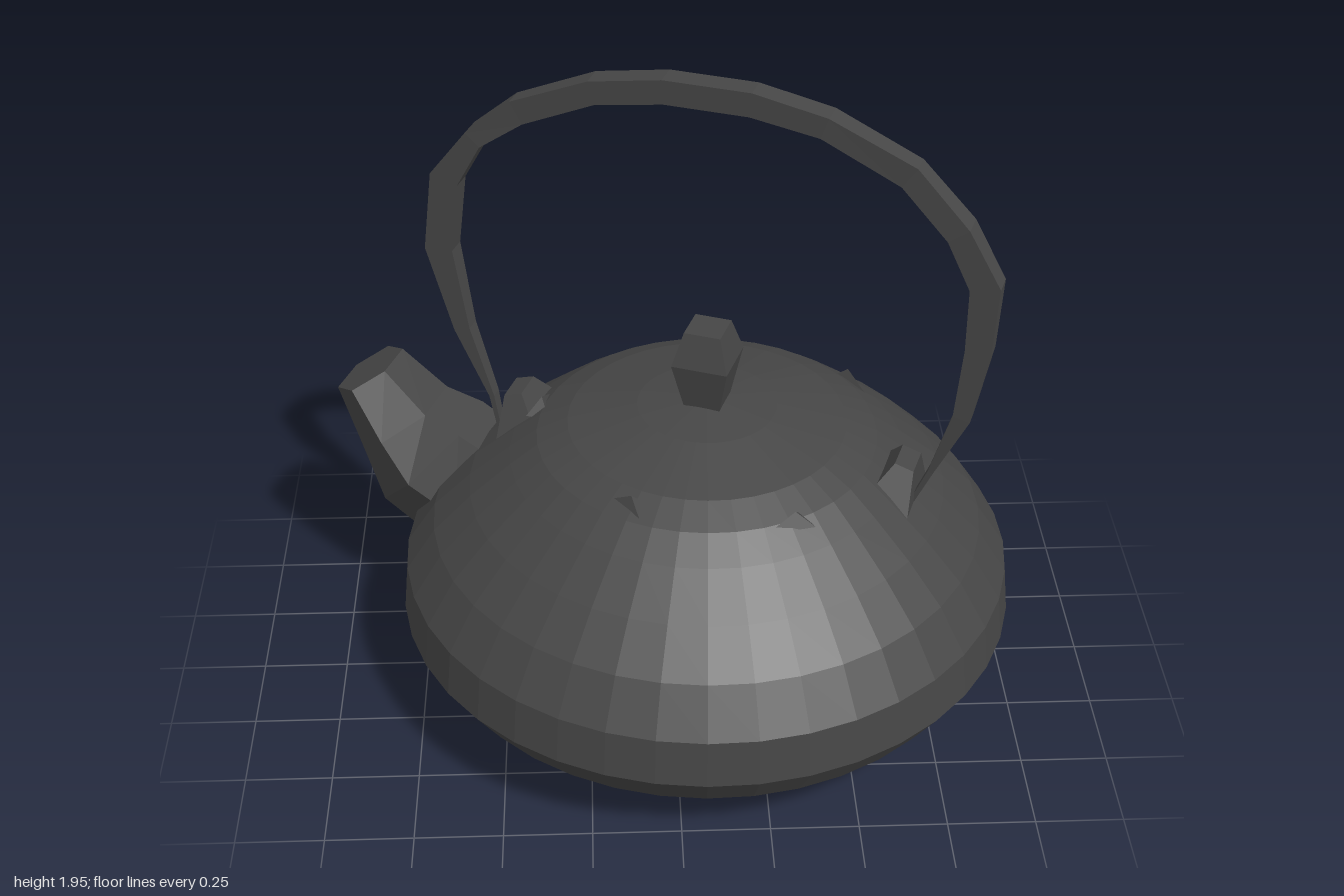
import * as THREE from 'three';

// Closed solid through a list of rings, each counter-clockwise about the path
function loft(rings) {
  const n = rings[0].length, verts = [];
  const tri = (...p) => p.forEach(v => verts.push(v.x, v.y, v.z));
  for (let i = 0; i < rings.length - 1; i++) {
    for (let j = 0; j < n; j++) {
      const k = (j + 1) % n, a = rings[i], b = rings[i + 1];
      tri(a[j], a[k], b[k]);
      tri(a[j], b[k], b[j]);
    }
  }
  const first = rings[0], last = rings[rings.length - 1];
  for (let j = 1; j < n - 1; j++) {
    tri(first[0], first[j + 1], first[j]);
    tri(last[0], last[j], last[j + 1]);
  }
  const g = new THREE.BufferGeometry();
  g.setAttribute('position', new THREE.Float32BufferAttribute(verts, 3));
  g.computeVertexNormals();
  return g;
}

export function createModel() {
  const root = new THREE.Group();
  root.name = 'teaKettle';
  const iron = new THREE.MeshStandardMaterial({ color: 0x464646, flatShading: true });
  iron.name = 'dark iron';

  // Everything turns with the handle and spout
  const kettle = new THREE.Group();
  kettle.name = 'kettle';
  kettle.position.x = 0.1;
  kettle.rotation.y = -0.356;
  root.add(kettle);
  const add = (name, geometry) => {
    const m = new THREE.Mesh(geometry, iron);
    m.name = name;
    kettle.add(m);
    return m;
  };

  // Squat body with domed top
  const profile = [[0, 0], [0.28, 0], [0.5, 0.03], [0.7, 0.1], [0.82, 0.19], [0.9, 0.31],
    [0.885, 0.45], [0.8, 0.58], [0.69, 0.69], [0.57, 0.79], [0.49, 0.85], [0.4, 0.892],
    [0.2, 0.943], [0, 0.968]].map(p => new THREE.Vector2(...p));
  add('body', new THREE.LatheGeometry(profile, 40));

  // Four-sided lid knob
  const knobProfile = [[0, 0.94], [0.07, 0.94], [0.115, 1.1], [0.075, 1.2], [0, 1.2]]
    .map(p => new THREE.Vector2(...p));
  add('lidKnob', new THREE.LatheGeometry(knobProfile, 4, Math.PI / 4));

  // Spout rings: outer x, outer y, inner x, inner y, half width
  const spout = [[0.84, 0.32, 0.62, 0.66, 0.18], [1.0, 0.44, 0.74, 0.73, 0.19],
    [1.07, 0.63, 0.85, 0.77, 0.165], [1.14, 0.8, 0.98, 0.89, 0.13]];
  add('spout', loft(spout.map(([ox, oy, ix, iy, w]) =>
    Array.from({ length: 6 }, (_, k) => {
      const t = (k + 0.5) * Math.PI / 3, c = Math.cos(t) / 0.866 / 2;
      return new THREE.Vector3(-(ox + ix) / 2 - (ox - ix) * c,
        (oy + iy) / 2 + (oy - iy) * c, w * Math.sin(t));
    }))));

  // Handle path: x, y, half thickness, half width
  const path = [[-0.64, 0.72, 0.006, 0.015], [-0.66, 0.84, 0.008, 0.018],
    [-0.74, 1.06, 0.025, 0.024], [-0.795, 1.32, 0.042, 0.03], [-0.765, 1.55, 0.042, 0.032],
    [-0.67, 1.69, 0.028, 0.036], [-0.54, 1.79, 0.036, 0.03], [-0.32, 1.885, 0.034, 0.034],
    [-0.12, 1.918, 0.035, 0.034], [0.12, 1.918, 0.035, 0.034], [0.32, 1.882, 0.032, 0.034],
    [0.55, 1.775, 0.036, 0.03], [0.69, 1.63, 0.035, 0.036], [0.77, 1.48, 0.042, 0.032],
    [0.765, 1.28, 0.036, 0.03], [0.735, 1.06, 0.025, 0.026], [0.66, 0.86, 0.008, 0.018],
    [0.61, 0.74, 0.006, 0.015]];
  const rings = path.map(([x, y, thick, wide], i) => {
    const a = path[Math.max(i - 1, 0)], b = path[Math.min(i + 1, path.length - 1)];
    const d = new THREE.Vector2(b[0] - a[0], b[1] - a[1]).normalize();
    return [[1, -1], [1, 1], [-1, 1], [-1, -1]].map(([n, z]) =>
      new THREE.Vector3(x - d.y * thick * n, y + d.x * thick * n, wide * z));
  });
  add('handle', loft(rings));

  // Wedge lugs where the handle meets the body
  for (const side of [-1, 1]) {
    const lug = add(side < 0 ? 'rightLug' : 'leftLug',
      new THREE.CylinderGeometry(0.4, 1, 1, 4, 1, false, Math.PI / 4));
    lug.scale.set(0.1, 0.12, 0.17);
    lug.position.set(side * 0.57, 0.81, -0.02);
    lug.rotation.z = -side * 0.3;
  }

  // Small rough chips around the lid seam: angle, radius
  for (const [angle, r] of [[0.75, 0.49], [1.75, 0.44], [3.1, 0.5], [4.35, 0.48], [5.35, 0.52]]) {
    const chip = add('lidChip', new THREE.ConeGeometry(1, 1, 3));
    chip.scale.set(0.04, 0.045, 0.09);
    chip.position.set(Math.cos(angle) * r, 1.07 - r * 0.44, Math.sin(angle) * r);
    chip.rotation.y = -angle;
  }
  return root;
}
